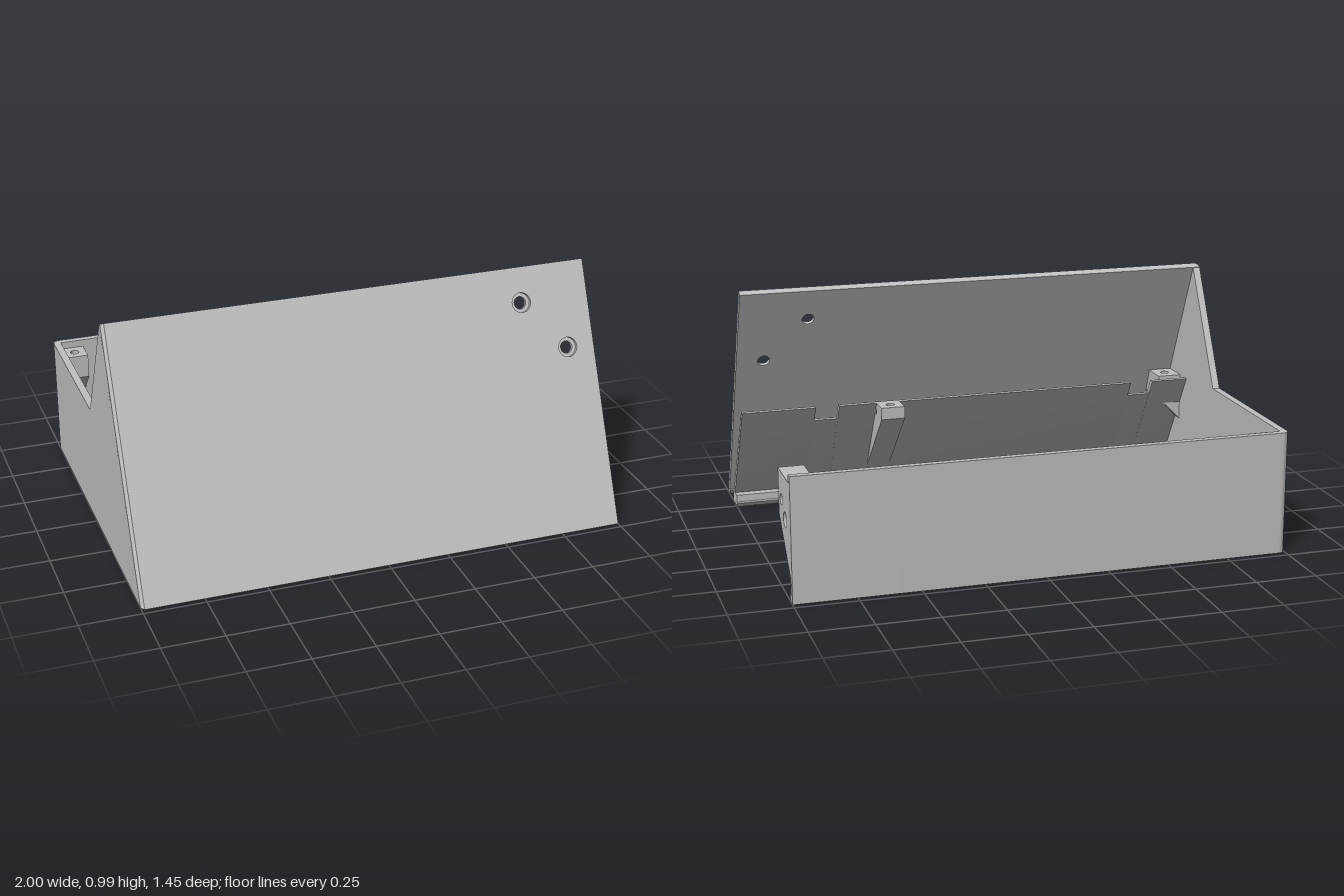
import * as THREE from 'three';
import { toCreasedNormals } from 'three/addons/utils/BufferGeometryUtils.js';

export function createModel() {
  const model = new THREE.Group();
  const grey = new THREE.MeshStandardMaterial({ color: 0xc0c0c0 });
  grey.name = 'light grey plastic';

  const add = (name, geo) => {
    const mesh = new THREE.Mesh(toCreasedNormals(geo, 0.5), grey);
    mesh.name = name;
    model.add(mesh);
    return mesh;
  };
  const polygon = (pts) => new THREE.Shape(pts.map(([a, b]) => new THREE.Vector2(a, b)));
  const punch = (shape, x, y, r) => shape.holes.push(new THREE.Path().absarc(x, y, r, 0, Math.PI * 2, true));
  const extrude = (shape, depth) =>
    new THREE.ExtrudeGeometry(shape, { depth, bevelEnabled: false, curveSegments: 20 });

  // Profile of [z, y] points run along x; holes are [z, y, radius]
  const alongX = (name, pts, x0, x1, holes = []) => {
    const shape = polygon(pts.map(([z, y]) => [-z, y]));
    holes.forEach(([z, y, r]) => punch(shape, -z, y, r));
    return add(name, extrude(shape, x1 - x0).rotateY(Math.PI / 2).translate(x0, 0, 0));
  };
  // Plan of [x, z] run upwards
  const alongY = (name, shape, y0, y1) =>
    add(name, extrude(shape, y1 - y0).rotateX(Math.PI / 2).translate(0, y1, 0));
  // Profile of [x, y] points run along z
  const alongZ = (name, pts, z0, z1) =>
    add(name, extrude(polygon(pts), z1 - z0).translate(0, 0, z0));
  // Square block with a vertical screw hole
  const screwBlock = (name, x0, x1, z0, z1, y0, y1) => {
    const plan = polygon([[x0, z0], [x1, z0], [x1, z1], [x0, z1]]);
    punch(plan, (x0 + x1) / 2, (z0 + z1) / 2, 0.018);
    alongY(name, plan, y0, y1);
  };

  // Sloping front panel in two layers, so the screw holes are counterbored
  const tilt = Math.atan2(0.46, 0.99);
  const length = 1.0917;
  const panelLayer = (name, outer, inner, radius, edgeInset) => {
    const shape = polygon([[-1, 0], [1, 0], [1, length], [-1, length]]);
    punch(shape, 0.71, 0.948, radius);
    punch(shape, 0.885, 0.744, radius);
    const geo = extrude(shape, inner - outer).translate(0, 0, -inner);
    const p = geo.attributes.position;
    for (let i = 0; i < p.count; i++) {
      const depth = -p.getZ(i);
      // bottom edge is cut level, left outer edge is eased
      if (p.getY(i) < 1e-6) p.setY(i, depth * Math.tan(tilt));
      if (p.getX(i) < -0.999 && depth < 1e-6) p.setX(i, -1 + edgeInset);
    }
    geo.computeVertexNormals();
    add(name, geo.rotateX(-tilt).translate(0, 0, 0.725));
  };
  panelLayer('frontPanelOuter', 0, 0.015, 0.04, 0.012);
  panelLayer('frontPanelInner', 0.015, 0.03, 0.025, 0);

  // Right side wall
  alongX('sideWall', [[0.692, 0], [0.238, 0.976], [-0.015, 0.5], [-0.692, 0.5], [-0.692, 0]], -1, -0.97);

  // Back wall with a rounded outer corner
  const back = new THREE.Shape();
  back.moveTo(1, -0.72);
  back.lineTo(1, -0.692);
  back.lineTo(-1, -0.692);
  back.absarc(-0.972, -0.692, 0.028, Math.PI, Math.PI * 1.5, false);
  alongY('backWall', back, 0, 0.5);

  // Undercut ledges round the bottom opening
  alongX('backLedge', [[-0.692, 0], [-0.692, 0.02], [-0.667, 0.02], [-0.685, 0]], -0.97, 1);
  alongZ('sideLedge', [[-0.97, 0], [-0.963, 0], [-0.945, 0.02], [-0.97, 0.02]], -0.692, 0.682);
  alongX('frontLedge', [[0.692, 0], [0.683, 0.02], [0.667, 0.02], [0.683, 0]], -0.97, 1);

  // Sloping inner partition, with two notches in its top edge
  const slopeZ = (z, y) => z - (y - 0.02) * 0.622;
  [[-0.97, -0.81, 0.47], [-0.81, -0.71, 0.405], [-0.71, 0.59, 0.47],
    [0.59, 0.69, 0.405], [0.69, 1, 0.47]].forEach(([x0, x1, top]) =>
    alongX('partition', [[0.585, 0.02], [slopeZ(0.585, top), top], [slopeZ(0.56, top), top],
      [slopeZ(0.553, 0.05), 0.05]], x0, x1));
  alongX('partitionFoot', [[0.597, 0], [0.585, 0.02], [0.567, 0.05], [0.495, 0.05], [0.495, 0.02],
    [0.475, 0.02], [0.49, 0]], -0.97, 1);

  // Screw post behind the partition
  screwBlock('partitionPost', 0.33, 0.43, 0.195, 0.29, 0.42, 0.47);
  alongX('partitionPostBrace', [[0.195, 0.42], [0.312, 0.42], [0.5, 0.12]], 0.33, 0.43);

  // Screw bosses on the back wall, braced from below
  [[-0.97, -0.875], [-0.49, -0.395]].forEach(([x0, x1]) => {
    screwBlock('backBoss', x0, x1, -0.692, -0.595, 0.37, 0.47);
    alongX('backBossBrace', [[-0.692, 0.37], [-0.595, 0.37], [-0.692, 0.27]], x0, x1);
  });

  // Screw boss on the side wall
  screwBlock('sideBoss', -0.97, -0.87, 0.355, 0.475, 0.37, 0.47);
  alongZ('sideBossBrace', [[-0.97, 0.27], [-0.87, 0.37], [-0.97, 0.37]], 0.355, 0.51);
  alongX('sideBossFill', [[0.475, 0.37], [0.51, 0.37], [0.475, 0.46]], -0.97, -0.87);

  // Joining post at the open end, with two cross holes and a screw hole on top
  alongX('joinPost', [[-0.495, 0.43], [-0.495, 0.29], [-0.692, 0.093], [-0.692, 0.43]], 0.9, 1,
    [[-0.55, 0.36, 0.022], [-0.615, 0.3, 0.03]]);
  const cap = polygon([[0.9, -0.692], [1, -0.692], [1, -0.495], [0.9, -0.495]]);
  punch(cap, 0.95, -0.645, 0.018);
  alongY('joinPostTop', cap, 0.43, 0.47);

  // Snap clips on the back wall
  [-0.02, 0.455].forEach((x) =>
    alongX('clip', [[-0.692, 0.22], [-0.65, 0.15], [-0.65, 0.125], [-0.692, 0.1]], x, x + 0.097));

  return model;
}
